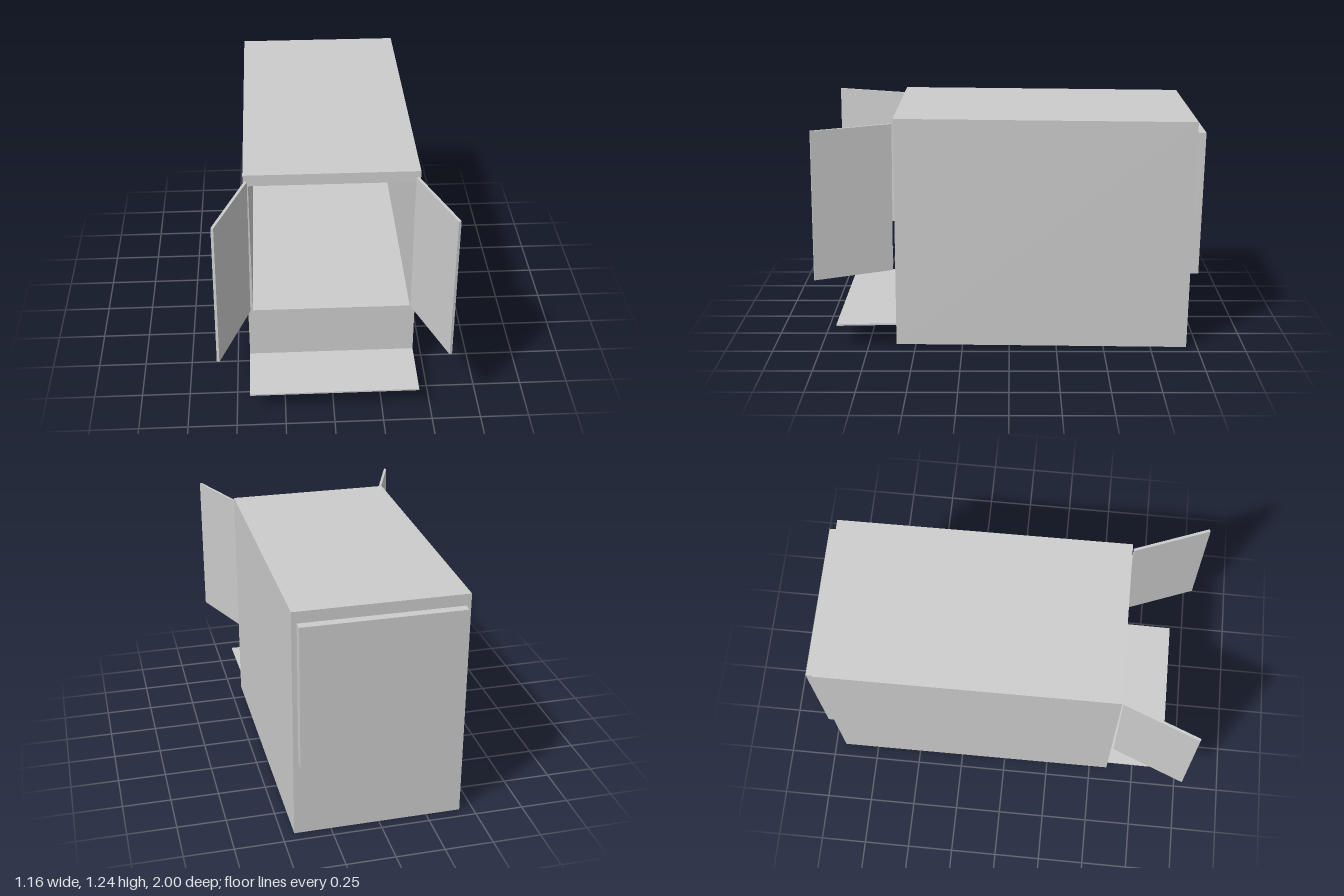
import * as THREE from 'three';

const material = new THREE.MeshStandardMaterial({ color: 0xcccccc, flatShading: true });

function addMesh(parent, name, geometry) {
  const mesh = new THREE.Mesh(geometry, material);
  mesh.name = name;
  parent.add(mesh);
  return mesh;
}

// Rectangle outline in the XY plane, usable as a shape or a hole
function rectangle(PathType, x0, x1, y0, y1) {
  const p = new PathType();
  p.moveTo(x0, y0);
  p.lineTo(x1, y0);
  p.lineTo(x1, y1);
  p.lineTo(x0, y1);
  p.closePath();
  return p;
}

export function createModel() {
  const model = new THREE.Group();
  model.name = 'cabinet';

  // The cabinet body leans very slightly backwards
  const body = new THREE.Group();
  body.name = 'body';
  body.rotation.x = -0.0105;
  model.add(body);

  // Outer casing with the compartment cut through it
  const casing = rectangle(THREE.Shape, -0.43, 0.438, 0.012, 1.234);
  casing.holes.push(rectangle(THREE.Path, -0.405, 0.412, 0.418, 1.174));
  const casingGeometry = new THREE.ExtrudeGeometry(casing, { depth: 1.542, bevelEnabled: false });
  casingGeometry.translate(0, 0, -0.942);
  addMesh(body, 'casing', casingGeometry);

  // Panel that closes the compartment and stands out at the rear
  addMesh(body, 'rearPanel', new THREE.BoxGeometry(0.817, 0.756, 0.046))
    .position.set(0.0035, 0.796, -0.965);

  // Pair of open doors, each hinged beside the opening
  for (const [name, side, lean] of [['leftDoor', 1, 0], ['rightDoor', -1, 0.012]]) {
    const geometry = new THREE.BoxGeometry(0.014, 0.78, 0.415);
    geometry.rotateY(side * 0.372);
    // Small sag: the lower edge swings outwards
    const p = geometry.attributes.position;
    for (let i = 0; i < p.count; i++) {
      const y = p.getY(i);
      p.setXYZ(i, p.getX(i) + lean * y, y - 0.01 * p.getZ(i), p.getZ(i) - 0.018 * y);
    }
    geometry.computeVertexNormals();
    addMesh(model, name, geometry).position.set(side * 0.496, 0.82, 0.797);
  }

  // Lower flap, folded down in front
  const flap = addMesh(model, 'lowerFlap', new THREE.BoxGeometry(0.868, 0.009, 0.33));
  flap.position.set(0.004, 0.129, 0.75);
  flap.rotation.x = 0.018;

  return model;
}
